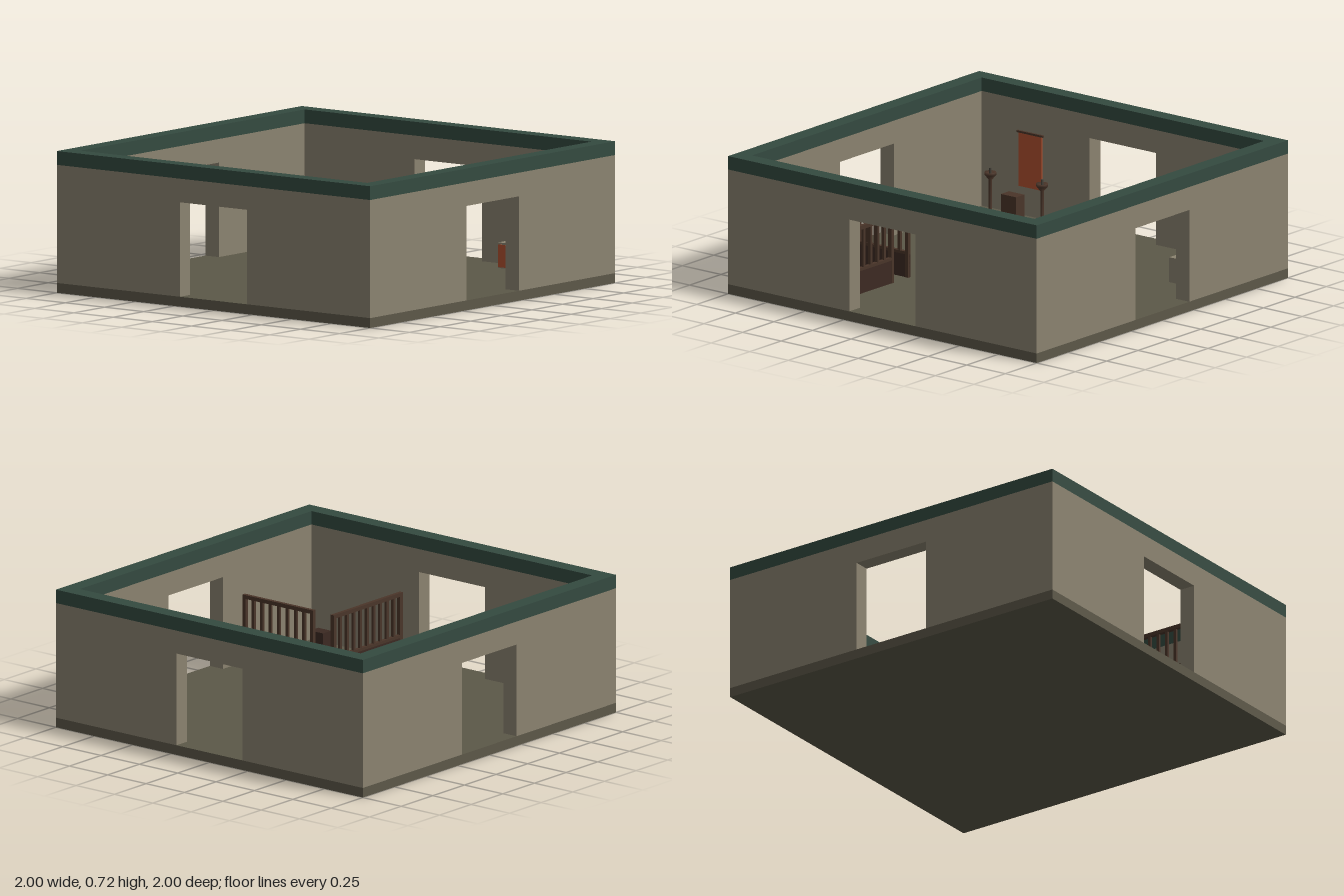
import * as THREE from 'three';

const mat = (name, color) => {
  const m = new THREE.MeshStandardMaterial({ color });
  m.name = name;
  return m;
};

export function createModel() {
  const stone = mat('wall stone', 0x8b8370);
  const floorMat = mat('floor stone', 0x5c5848);
  const green = mat('green trim', 0x344a40);
  const wood = mat('brown wood', 0x4a3529);
  const darkWood = mat('dark wood', 0x3c2a22);
  const orange = mat('orange cloth', 0xb0512f);
  const iron = mat('dark iron', 0x46423a);

  const root = new THREE.Group();
  root.name = 'room';
  const group = (name, parent = root) => {
    const g = new THREE.Group();
    g.name = name;
    parent.add(g);
    return g;
  };
  const add = (parent, name, geo, material, x = 0, y = 0, z = 0) => {
    const m = new THREE.Mesh(geo, material);
    m.name = name;
    m.position.set(x, y, z);
    parent.add(m);
    return m;
  };
  // Box given by its lower and upper limits on each axis
  const box = (parent, name, material, x0, x1, y0, y1, z0, z1) =>
    add(parent, name, new THREE.BoxGeometry(x1 - x0, y1 - y0, z1 - z0), material,
      (x0 + x1) / 2, (y0 + y1) / 2, (z0 + z1) / 2);

  const FLOOR = 0.05, TOP = 0.65, RIM = 0.72, INNER = 0.915, DOOR = 0.215, LINTEL = 0.53;

  box(root, 'floor', floorMat, -1, 1, 0, FLOOR, -1, 1);

  // Four walls, each with a doorway; the side walls fit between the others
  ['frontWall', 'rightWall', 'backWall', 'leftWall'].forEach((name, i) => {
    const half = i % 2 ? INNER : 1;
    const shape = new THREE.Shape([
      [-half, FLOOR], [-DOOR, FLOOR], [-DOOR, LINTEL], [DOOR, LINTEL],
      [DOOR, FLOOR], [half, FLOOR], [half, TOP], [-half, TOP],
    ].map(([x, y]) => new THREE.Vector2(x, y)));
    const geo = new THREE.ExtrudeGeometry(shape, { depth: 1 - INNER, bevelEnabled: false });
    geo.translate(0, 0, INNER);
    add(root, name, geo, stone).rotation.y = i * Math.PI / 2;
  });

  // Trim running around the top of the walls
  const square = (s) => [[-s, -s], [s, -s], [s, s], [-s, s]].map(([x, y]) => new THREE.Vector2(x, y));
  const ring = new THREE.Shape(square(1));
  ring.holes.push(new THREE.Path(square(INNER).reverse()));
  const trim = new THREE.ExtrudeGeometry(ring, { depth: RIM - TOP, bevelEnabled: false });
  trim.rotateX(-Math.PI / 2);
  add(root, 'topTrim', trim, green, 0, TOP, 0);

  // Stone block with a lid and fittings
  const block = group('stoneBlock');
  box(block, 'blockBase', stone, -0.775, -0.43, FLOOR, 0.18, -0.84, -0.695);
  box(block, 'blockLid', stone, -0.745, -0.475, 0.18, 0.2, -0.805, -0.735);
  box(block, 'lidKnob', iron, -0.635, -0.605, 0.2, 0.215, -0.78, -0.758);
  add(block, 'smallPot', new THREE.CylinderGeometry(0.016, 0.016, 0.03, 12), stone, -0.46, 0.195, -0.77);
  add(block, 'potRim', new THREE.TorusGeometry(0.014, 0.004, 6, 14).rotateX(Math.PI / 2), iron, -0.46, 0.21, -0.77);
  add(block, 'ironCup', new THREE.CylinderGeometry(0.017, 0.014, 0.03, 8), iron, -0.76, 0.195, -0.77);

  // Altar with a cloth front, a hanging behind it and two candles
  const altar = group('altar');
  box(altar, 'altarBase', stone, 0.425, 0.77, FLOOR, 0.18, -0.915, -0.78);
  box(altar, 'altarCloth', orange, 0.427, 0.768, 0.055, 0.17, -0.78, -0.776);
  box(altar, 'altarHanging', orange, 0.44, 0.75, 0.18, 0.35, -0.908, -0.9);
  box(altar, 'hangingEmblem', iron, 0.57, 0.62, 0.25, 0.3, -0.9, -0.895);
  box(altar, 'hangingRod', darkWood, 0.435, 0.755, 0.35, 0.36, -0.908, -0.9);
  for (const [x, m] of [[0.455, iron], [0.74, orange]])
    add(altar, 'altarCandle', new THREE.CylinderGeometry(0.008, 0.008, 0.05, 8), m, x, 0.205, -0.835);

  // Stall partitions: solid lower panel, upright bars, end posts and top rail
  const partition = (name, length) => {
    const g = group(name);
    const t = 0.01;
    box(g, 'lowerPanel', darkWood, 0, length, FLOOR, 0.17, -0.007, 0.007);
    box(g, 'middleRail', wood, 0, length, 0.17, 0.185, -t, t);
    box(g, 'topRail', wood, 0, length, 0.385, 0.405, -t, t);
    for (const x of [0, length - 0.02]) box(g, 'endPost', wood, x, x + 0.02, FLOOR, 0.385, -t, t);
    const n = Math.round(length / 0.056);
    for (let i = 1; i < n; i++) {
      const x = 0.01 + (length - 0.02) * i / n;
      box(g, 'bar', wood, x - 0.008, x + 0.008, 0.185, 0.385, -0.007, 0.007);
    }
    return g;
  };
  partition('backPartition', 0.46).position.set(0.455, 0, 0.38);
  const side = partition('sidePartition', 0.545);
  side.position.set(0.33, 0, 0.915);
  side.rotation.y = Math.PI / 2;
  box(root, 'stallBlock', darkWood, 0.605, 0.69, FLOOR, 0.2, 0.63, 0.695);

  // Shrine: dark table, kneeling mat, wall banner and two stands
  const shrine = group('shrine');
  box(shrine, 'shrineTable', wood, -0.8, -0.735, FLOOR, 0.2, 0.545, 0.645);
  box(shrine, 'kneelingMat', orange, -0.73, -0.672, FLOOR, 0.07, 0.545, 0.645);
  box(shrine, 'wallBanner', orange, -0.915, -0.907, 0.2, 0.48, 0.52, 0.67);
  box(shrine, 'bannerRod', wood, -0.915, -0.903, 0.48, 0.49, 0.51, 0.68);
  const profile = [[0, 0], [0.032, 0], [0.028, 0.015], [0.009, 0.025], [0.009, 0.19],
    [0.03, 0.215], [0.03, 0.23], [0.014, 0.222], [0, 0.222]].map(([x, y]) => new THREE.Vector2(x, y));
  for (const z of [0.43, 0.765]) {
    add(shrine, 'lampStand', new THREE.LatheGeometry(profile, 12), wood, -0.8, FLOOR, z);
    add(shrine, 'lampCandle', new THREE.CylinderGeometry(0.006, 0.006, 0.03, 8), iron, -0.8, 0.285, z);
  }

  return root;
}
